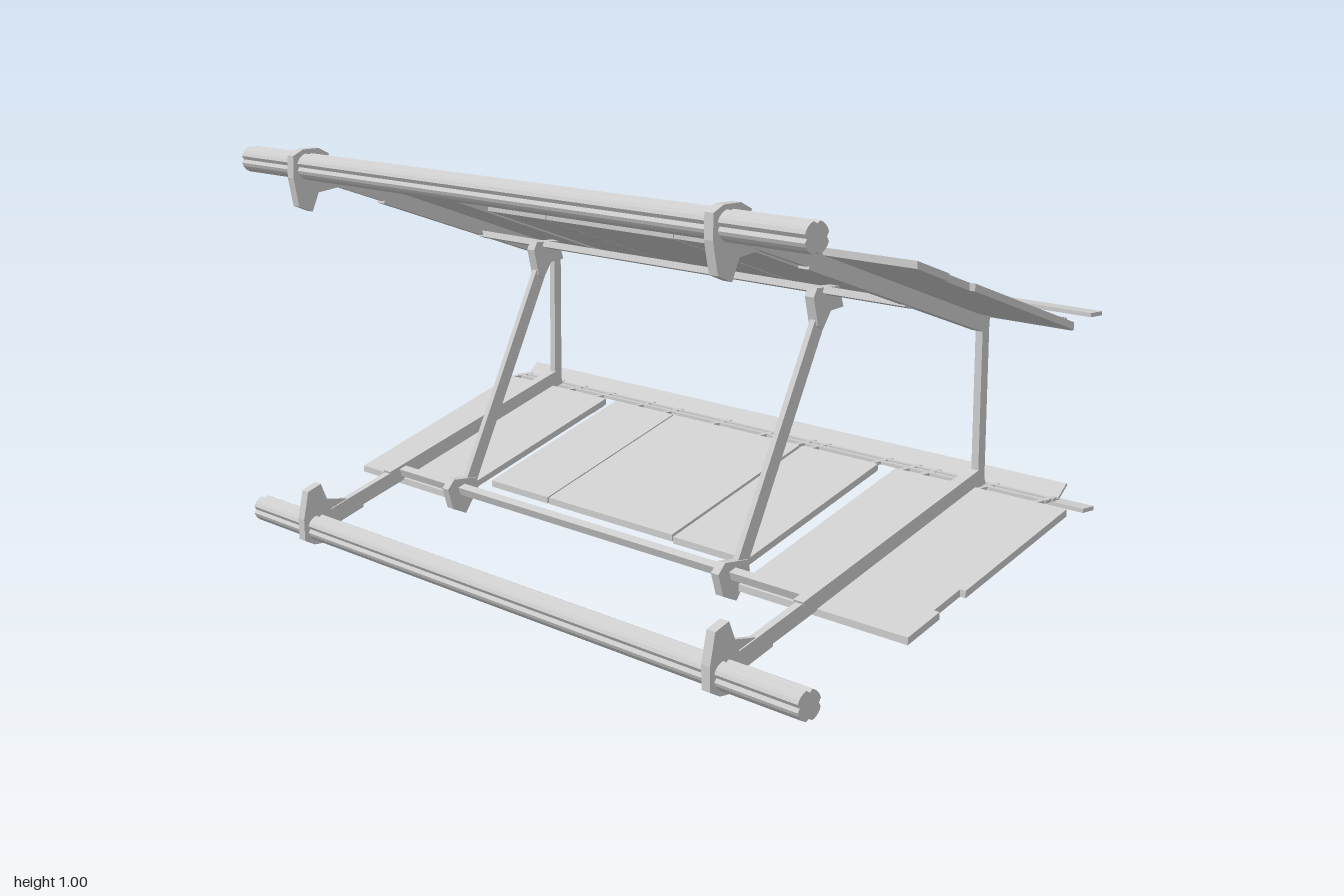
import * as THREE from 'three';

const grey = new THREE.MeshStandardMaterial({ color: 0xcccccc, flatShading: true, side: THREE.DoubleSide });
const dark = new THREE.MeshStandardMaterial({ color: 0x2e2a20, flatShading: true, side: THREE.DoubleSide });

// Extrude an xy outline from z0 to z1
function prism(parent, name, pts, z0, z1, mat = grey) {
  const shape = new THREE.Shape(pts.map(([x, y]) => new THREE.Vector2(x, y)));
  const g = new THREE.ExtrudeGeometry(shape, { depth: z1 - z0, bevelEnabled: false });
  g.translate(0, 0, z0);
  const m = new THREE.Mesh(g, mat);
  m.name = name;
  parent.add(m);
}

// Outline of a straight strip of thickness t between two points
function strip([ax, ay], [bx, by], t) {
  const l = Math.hypot(bx - ax, by - ay);
  const nx = -(by - ay) / l * t / 2, ny = (bx - ax) / l * t / 2;
  return [[ax + nx, ay + ny], [bx + nx, by + ny], [bx - nx, by - ny], [ax - nx, ay - ny]];
}

// Grooved round outline of the long chord tube
function chordOutline(cx, cy, r) {
  const pts = [];
  for (let i = 0; i < 24; i++) {
    const a = i / 24 * Math.PI * 2;
    const q = i % 6 === 0 ? r * 0.8 : r;
    pts.push([cx + q * Math.cos(a), cy + q * Math.sin(a)]);
  }
  return pts;
}

// Height of the sloping panel skin
const skin = x => 0.711 - 0.357 * (x - 0.345);
const slab = (x0, x1, top, bottom) =>
  [[x0, skin(x0) + top], [x1, skin(x1) + top], [x1, skin(x1) + bottom], [x0, skin(x0) + bottom]];

// One wing: the upper one as given, the lower one reflected about y = 0.5
function wing(upper) {
  const g = new THREE.Group();
  g.name = upper ? 'upperWing' : 'lowerWing';
  const add = (name, pts, z0, z1, mat) =>
    prism(g, name, upper ? pts : pts.map(([x, y]) => [x, 1 - y]), z0, z1, mat);

  add('chordTube', chordOutline(-0.42, 0.957, 0.033), -1, 0.985);

  for (const z of [-0.755, 0.737]) {
    // Clamp around the chord
    add('chordClamp', [[-0.463, 0.985], [-0.435, 0.999], [-0.39, 1], [-0.36, 0.985], [-0.372, 0.95],
      [-0.385, 0.91], [-0.412, 0.845], [-0.45, 0.86], [-0.464, 0.93]], z - 0.013, z + 0.013);
    add('clampGusset', [[-0.38, 0.965], [-0.28, 0.929], [-0.28, 0.912], [-0.32, 0.9], [-0.39, 0.89]],
      z - 0.006, z + 0.006);
    // Arm with its thin lower flange
    add('arm', strip([-0.385, 0.937], [0.375, 0.675], 0.036), z - 0.01, z + 0.01);
    add('armFlange', strip([-0.2, 0.852], [0.35, 0.66], 0.007), z - 0.015, z + 0.015);
  }

  // Panels: x0, z0, z1
  for (const [x0, z0, z1] of [[-0.155, -0.93, -0.52], [-0.07, -0.48, -0.255], [-0.07, -0.25, 0.2], [-0.075, 0.21, 0.455]]) {
    add('panel', slab(x0, 0.345, 0, -0.016), z0, z1);
  }
  // End panel with a shallow notch in its outer edge
  add('endPanel', slab(-0.155, 0.345, 0, -0.016), 0.51, 0.985);
  add('endPanelEdge', slab(-0.155, -0.06, 0, -0.016), 0.985, 1);
  add('endPanelEdge', slab(0.02, 0.345, 0, -0.016), 0.985, 1);

  // Raised ribs and lips on the panels
  add('panelRib', slab(-0.15, 0.3, 0.005, 0), -0.85, -0.838);
  add('panelLip', slab(0.3, 0.34, 0.004, 0), -0.85, -0.525);
  add('panelRib', slab(0.145, 0.155, 0.004, 0), 0.515, 0.98);
  add('insetLip', slab(0.01, 0.02, 0.005, 0), -0.25, 0.14);
  add('insetLip', slab(0.02, 0.345, 0.005, 0), 0.13, 0.14);
  add('insetLip', slab(0.02, 0.345, 0.005, 0), -0.25, -0.24);

  // Edge ladder: two long strips, a sloping flange and rungs
  add('ladderRail', [[0.375, 0.704], [0.388, 0.704], [0.388, 0.697], [0.375, 0.697]], -0.94, 0.92);
  add('ladderRail', [[0.4, 0.704], [0.41, 0.704], [0.41, 0.697], [0.4, 0.697]], -0.94, 0.92);
  add('ladderFlange', strip([0.418, 0.702], [0.448, 0.672], 0.005), -0.94, 0.92);
  for (const z of [-0.93, -0.79, -0.69, -0.57, -0.41, -0.3, -0.12, 0.05, 0.18, 0.23, 0.43, 0.52, 0.58, 0.67, 0.75, 0.91]) {
    add('ladderRung', [[0.345, 0.705], [0.422, 0.703], [0.422, 0.697], [0.345, 0.697]], z - 0.007, z + 0.007);
  }
  add('edgePlate', [[0.422, 0.72], [0.46, 0.72], [0.46, 0.711], [0.422, 0.711]], -1, 0.985);
  return g;
}

export function createModel() {
  const model = new THREE.Group();
  model.name = 'trussFrame';
  model.add(wing(true), wing(false));

  // Upright posts joining the arm tips
  for (const z of [-0.755, 0.737]) {
    prism(model, 'post', [[0.354, 0.31], [0.376, 0.31], [0.376, 0.69], [0.354, 0.69]], z - 0.01, z + 0.01);
  }

  // Diagonal struts with end fittings
  for (const z of [-0.502, 0.482]) {
    prism(model, 'strut', strip([0.115, 0.69], [-0.145, 0.115], 0.032), z - 0.008, z + 0.008);
    prism(model, 'strutHead', [[0.08, 0.73], [0.09, 0.75], [0.16, 0.748], [0.175, 0.7], [0.135, 0.695],
      [0.11, 0.655], [0.095, 0.665]], z - 0.014, z + 0.014);
    prism(model, 'strutFoot', [[-0.2, 0.152], [-0.18, 0.175], [-0.11, 0.17], [-0.105, 0.145],
      [-0.145, 0.083], [-0.185, 0.1]], z - 0.012, z + 0.012);
  }

  // Lengthwise bars carrying the struts
  prism(model, 'lowerBar', strip([-0.165, 0.143], [-0.145, 0.15], 0.02), -0.755, 0.737);
  prism(model, 'upperBar', strip([0.11, 0.745], [0.13, 0.738], 0.016), -0.755, 0.737);

  // Dark windows and slots on the upper panels: x0, x1, z0, z1
  for (const [x0, x1, z0, z1] of [[-0.13, -0.075, 0.55, 0.66], [0.03, 0.065, -0.16, 0.12],
    [0.01, 0.025, -0.885, -0.865], [0.26, 0.29, 0.86, 0.87], [0.197, 0.208, 0.255, 0.405],
    [0.19, 0.205, -0.435, -0.41]]) {
    prism(model, 'panelSlot', slab(x0, x1, 0.0015, -0.002), z0, z1, dark);
  }
  return model;
}
